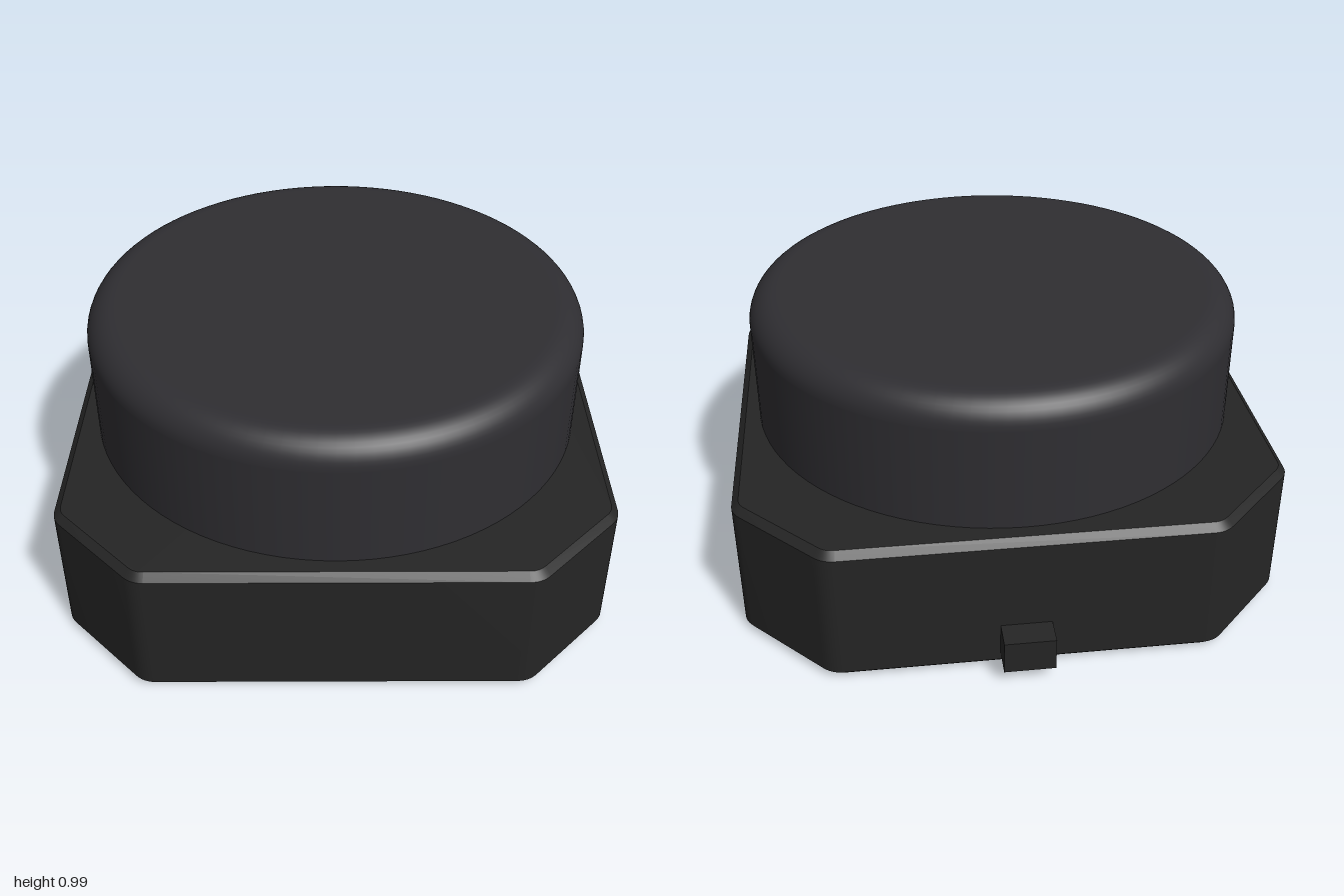
import * as THREE from 'three';
import { toCreasedNormals } from 'three/addons/utils/BufferGeometryUtils.js';

const HALF = 0.953, CUT = 0.3, HEIGHT = 0.52, BEVEL = 0.025, CENTRE_Z = 0.047;

// Square outline with cut corners, each vertex slightly rounded
function baseOutline() {
  const a = HALF, b = HALF - CUT, r = 0.04;
  const pts = [[a, -b], [a, b], [b, a], [-b, a], [-a, b], [-a, -b], [-b, -a], [b, -a]]
    .map(([x, y]) => new THREE.Vector2(x, y));
  const shape = new THREE.Shape();
  pts.forEach((p, i) => {
    const prev = pts[(i + 7) % 8], next = pts[(i + 1) % 8];
    const s = p.clone().add(prev.clone().sub(p).setLength(r));
    const e = p.clone().add(next.clone().sub(p).setLength(r));
    if (i === 0) shape.moveTo(s.x, s.y);
    else shape.lineTo(s.x, s.y);
    shape.quadraticCurveTo(p.x, p.y, e.x, e.y);
  });
  shape.closePath();
  return shape;
}

export function createModel() {
  const group = new THREE.Group();
  const body = new THREE.MeshStandardMaterial({ color: 0x252525 });
  const cap = new THREE.MeshStandardMaterial({ color: 0x2f2e32 });
  const screw = new THREE.MeshStandardMaterial({ color: 0x555555 });

  const add = (name, geometry, material, x, y, z) => {
    const mesh = new THREE.Mesh(geometry, material);
    mesh.name = name;
    mesh.position.set(x, y, z);
    group.add(mesh);
  };

  // Bevelled base block
  const lift = 0.002;
  const block = new THREE.ExtrudeGeometry(baseOutline(), {
    depth: HEIGHT - lift - 2 * BEVEL, bevelThickness: BEVEL, bevelSize: BEVEL,
    bevelOffset: -BEVEL, bevelSegments: 1, curveSegments: 6,
  });
  block.rotateX(-Math.PI / 2);
  add('base', toCreasedNormals(block, 0.4), body, 0, lift + BEVEL, CENTRE_Z);

  // Round cap with a filleted rim
  const R = 0.88, top = 0.99, f = 0.1;
  const profile = [new THREE.Vector2(R, HEIGHT - 0.02), new THREE.Vector2(R, top - f - 0.005)];
  for (let i = 0; i <= 10; i++) {
    const t = (i / 10) * Math.PI / 2;
    profile.push(new THREE.Vector2(R - f + f * Math.cos(t), top - f + f * Math.sin(t)));
  }
  profile.push(new THREE.Vector2(R - f - 0.005, top), new THREE.Vector2(0, top));
  add('cap', new THREE.LatheGeometry(profile, 96), cap, 0, 0, CENTRE_Z);

  // Cable connector at the back
  add('connector', new THREE.BoxGeometry(0.174, 0.12, 0.11), body, 0, 0.115, -0.945);

  // Small screws under the base
  for (const x of [-0.51, 0.51]) {
    for (const z of [-0.51, 0.51]) {
      add('screw', new THREE.CylinderGeometry(0.022, 0.022, 0.01, 20), screw, x, 0.005, CENTRE_Z + z);
    }
  }
  return group;
}
